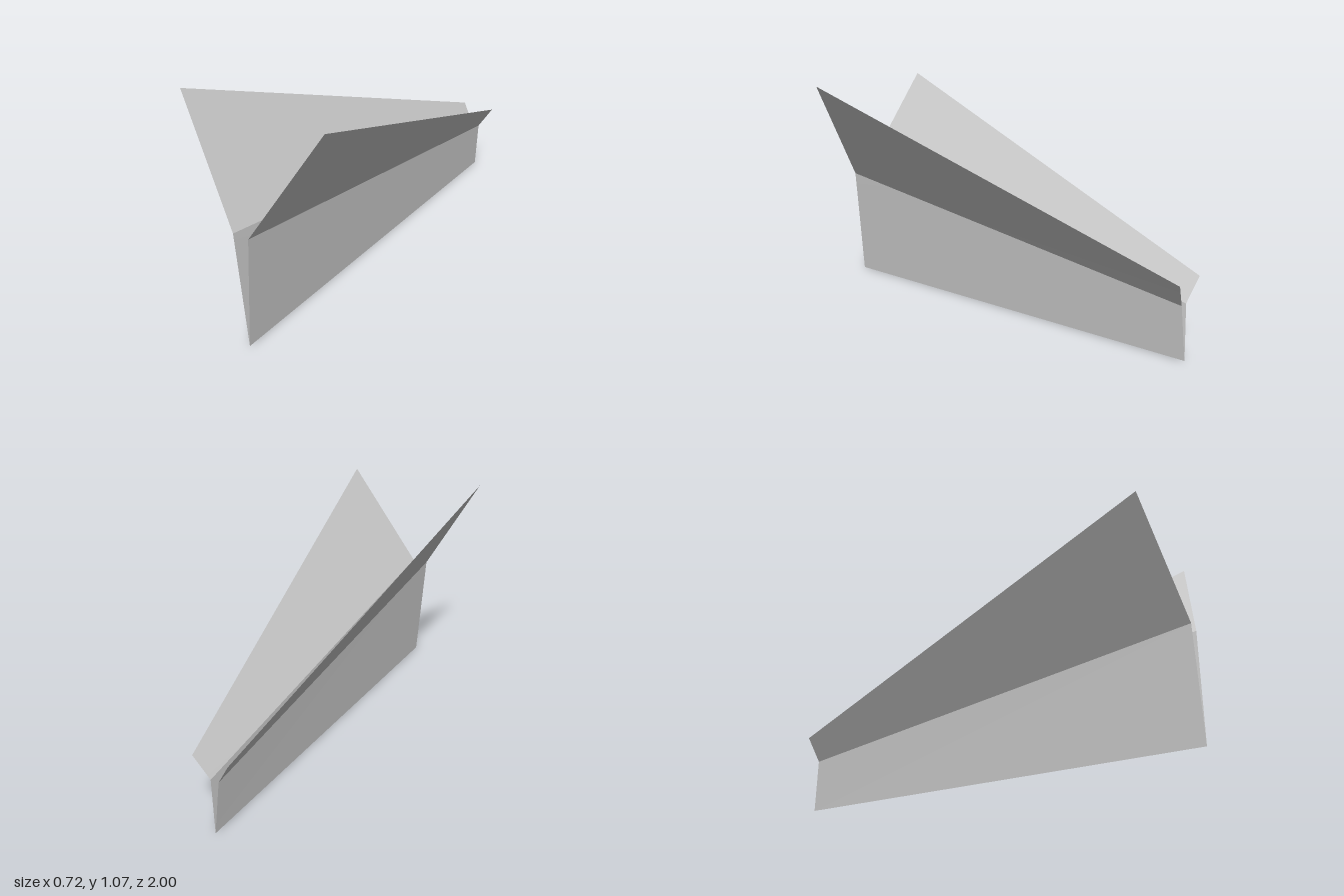
import * as THREE from 'three';

// Flat four-cornered sheet, corners listed counter-clockwise from outside
function sheet(name, corners, material) {
  const geometry = new THREE.BufferGeometry();
  geometry.setAttribute('position', new THREE.Float32BufferAttribute(corners.flat(), 3));
  geometry.setIndex([0, 1, 2, 0, 2, 3]);
  geometry.computeVertexNormals();
  const mesh = new THREE.Mesh(geometry, material);
  mesh.name = name;
  return mesh;
}

export function createModel() {
  const paper = new THREE.MeshStandardMaterial({ color: 0xcccccc, side: THREE.DoubleSide });
  paper.name = 'paper grey';
  const model = new THREE.Group();
  model.name = 'foldedPaperGlider';

  for (const side of [1, -1]) {
    // Fold lines of one half: keel, body top and wing edge, front and rear
    const keelFront = [0, 0, 1];
    const keelRear = [0, 0, -0.995];
    const foldFront = [0.04 * side, 0.55, 1];
    const foldRear = [0.02 * side, 0.252, -0.978];
    const tipFront = [0.36 * side, side > 0 ? 1.06 : 1.067, 0.9];
    const tipRear = [0.088 * side, 0.362, -1];

    const body = [keelFront, keelRear, foldRear, foldFront];
    const wing = [foldFront, foldRear, tipRear, tipFront];
    if (side < 0) {
      body.reverse();
      wing.reverse();
    }
    const label = side > 0 ? 'left' : 'right';
    model.add(sheet(label + 'BodyPanel', body, paper));
    model.add(sheet(label + 'Wing', wing, paper));
  }
  return model;
}
